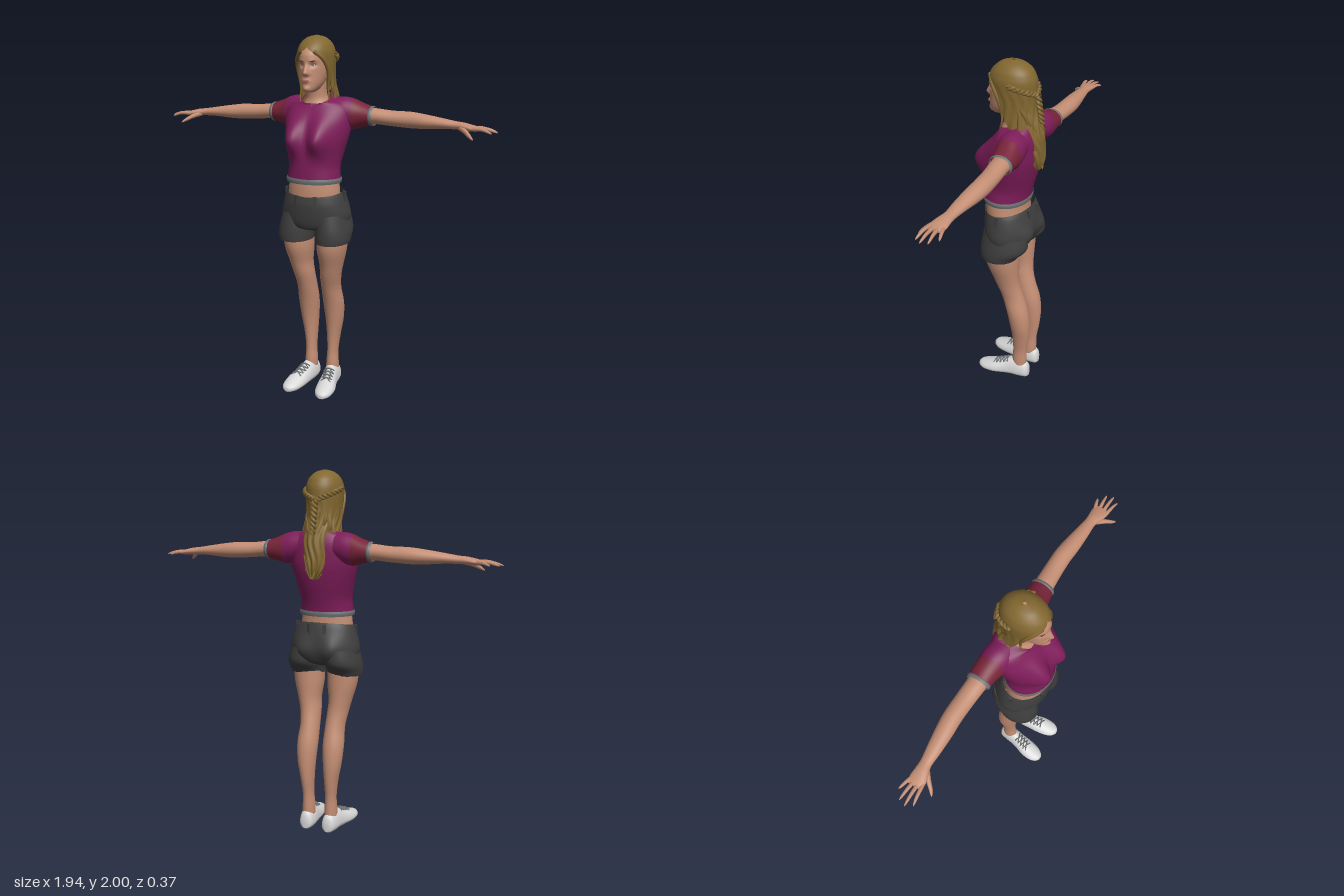
import * as THREE from 'three';

const paint = (name, color, side = THREE.FrontSide) => {
  const m = new THREE.MeshStandardMaterial({ color, side });
  m.name = name;
  return m;
};
const g2 = (a, sa, b, sb) => Math.exp(-((a / sa) ** 2) - (b / sb) ** 2);

// Smooth spline through one column of numbers
const spline = (a, b, c, d, t) =>
  0.5 * (2 * b + (c - a) * t + (2 * a - 5 * b + 4 * c - d) * t * t + (3 * b - a - 3 * c + d) * t ** 3);

// Lofted skin. Ring: [t, c1, c2, r1, r2 front, r2 back, tilt, power, front opening angle]
function loft(rings, { axis = 'y', seg = 32, steps = 5, cap = true, deform } = {}) {
  const full = rings.map((r) => [...r, ...[0, 2, 0].slice(r.length - 6)]);
  const at = (i) => full[Math.min(Math.max(i, 0), full.length - 1)];
  const rows = [];
  for (let i = 0; i < full.length - 1; i++)
    for (let k = 0; k < steps; k++)
      rows.push(full[0].map((_, n) => spline(at(i - 1)[n], at(i)[n], at(i + 1)[n], at(i + 2)[n], k / steps)));
  rows.push(at(full.length));
  const open = full.some((r) => r[8] > 0);
  const cols = open ? seg + 1 : seg;
  const pos = [], idx = [], v = new THREE.Vector3();
  const put = (p1, t, p2) => {
    if (axis === 'y') pos.push(p1, t, p2);
    else if (axis === 'x') pos.push(t, p1, p2);
    else pos.push(p1, p2, t);
  };
  const flip = axis !== 'y';
  const tri = (a, b, c) => (flip ? idx.push(a, c, b) : idx.push(a, b, c));
  rows.forEach(([t, c1, c2, r1, rf, rb, tilt, pow, gap]) => {
    const o = Math.max(gap, 0);
    for (let j = 0; j < cols; j++) {
      const a = Math.PI / 2 + o + (j / seg) * (Math.PI * 2 - 2 * o);
      const c = Math.cos(a), s = Math.sin(a);
      const e = (w) => Math.sign(w) * Math.abs(w) ** (2 / pow);
      v.set(c1 + Math.max(r1, 0) * e(c), t - tilt * s, c2 + Math.max(s > 0 ? rf : rb, 0) * e(s));
      if (deform) deform(v, a);
      put(v.x, v.y, v.z);
    }
  });
  for (let i = 0; i < rows.length - 1; i++)
    for (let j = 0; j < seg; j++) {
      const A = i * cols + j, B = i * cols + ((j + 1) % cols);
      tri(A, A + cols, B);
      tri(B, A + cols, B + cols);
    }
  if (cap && !open) {
    const last = (rows.length - 1) * cols, n = rows.length * cols, e = rows[rows.length - 1];
    put(rows[0][1], rows[0][0], rows[0][2]);
    put(e[1], e[0], e[2]);
    for (let j = 0; j < seg; j++) {
      tri(n, j, (j + 1) % seg);
      tri(n + 1, last + ((j + 1) % seg), last + j);
    }
  }
  const geo = new THREE.BufferGeometry();
  geo.setAttribute('position', new THREE.Float32BufferAttribute(pos, 3));
  geo.setIndex(idx);
  geo.computeVertexNormals();
  return geo;
}

// Round strand along points, radius given by a function of 0..1
function strand(points, radius, n = 20, sides = 8) {
  const curve = new THREE.CatmullRomCurve3(points.map((p) => new THREE.Vector3(...p)));
  const geo = new THREE.TubeGeometry(curve, n, 1, sides);
  const p = geo.attributes.position, v = new THREE.Vector3();
  for (let i = 0; i < p.count; i++) {
    const t = Math.floor(i / (sides + 1)) / n, c = curve.getPointAt(t);
    v.fromBufferAttribute(p, i).sub(c).multiplyScalar(radius(t)).add(c);
    p.setXYZ(i, v.x, v.y, v.z);
  }
  return geo;
}

function mirrored(geo) {
  const m = geo.clone().scale(-1, 1, 1), ix = m.index;
  for (let i = 0; i < ix.count; i += 3) {
    const b = ix.getX(i + 1);
    ix.setX(i + 1, ix.getX(i + 2));
    ix.setX(i + 2, b);
  }
  return m;
}

export function createModel() {
  const model = new THREE.Group(), two = THREE.DoubleSide;
  const skin = paint('skin', 0xc48e74), hair = paint('hair', 0x826730, two);
  const shirt = paint('shirt', 0x7e1d5a, two), sleeve = paint('sleeve', 0x782339, two);
  const trim = paint('trim', 0x6c7071, two), denim = paint('shorts', 0x3e3e3e, two);
  const white = paint('white', 0xd8d8d8), lip = paint('lips', 0xa5655a), dark = paint('dark', 0x3c2c20);
  const add = (name, geo, mat) => {
    const m = new THREE.Mesh(geo, mat);
    m.name = name;
    model.add(m);
    return m;
  };
  const pair = (name, geo, mat) => {
    add(name + 'Left', geo, mat);
    add(name + 'Right', mirrored(geo), mat);
  };

  // Legs
  pair('leg', loft([
    [0.08, 0.068, -0.075, 0.036, 0.043, 0.045], [0.13, 0.068, -0.075, 0.035, 0.043, 0.045],
    [0.2, 0.069, -0.078, 0.031, 0.042, 0.043], [0.3, 0.073, -0.082, 0.039, 0.05, 0.053],
    [0.4, 0.078, -0.08, 0.052, 0.06, 0.06], [0.5, 0.078, -0.065, 0.059, 0.065, 0.065],
    [0.6, 0.076, -0.035, 0.055, 0.065, 0.067], [0.68, 0.083, -0.01, 0.059, 0.07, 0.072],
    [0.75, 0.093, 0, 0.065, 0.082, 0.076], [0.85, 0.1, 0.01, 0.083, 0.105, 0.088],
    [0.97, 0.105, 0.01, 0.088, 0.11, 0.09]]), skin);

  // Shoes with crossed laces
  pair('shoe', loft([
    [-0.138, 0.068, 0.035, 0.014, 0.018, 0.03], [-0.125, 0.068, 0.035, 0.035, 0.06, 0.04],
    [-0.08, 0.07, 0.035, 0.044, 0.085, 0.045], [-0.035, 0.074, 0.035, 0.046, 0.083, 0.045],
    [0.01, 0.082, 0.03, 0.049, 0.068, 0.04], [0.07, 0.094, 0.025, 0.056, 0.05, 0.035],
    [0.13, 0.101, 0.02, 0.05, 0.033, 0.03], [0.165, 0.104, 0.018, 0.033, 0.022, 0.024],
    [0.18, 0.105, 0.016, 0.012, 0.01, 0.012]],
  { axis: 'z', deform: (v) => { v.z = Math.max(v.z, 0.002); v.y; } }), white);
  for (let i = 0; i < 4; i++) {
    const z = -0.012 + i * 0.022, cx = 0.079 + i * 0.005, y = 0.11 - i * 0.009;
    for (const s of [-1, 1])
      pair('lace', strand([[cx - s * 0.03, y - 0.014, z], [cx, y + 0.001, z + 0.011], [cx + s * 0.03, y - 0.02, z + 0.022]],
        () => 0.004, 8, 6), trim);
  }

  // Shorts: hips, leg openings and belt loops
  const hips = add('shortsHips', loft([
    [0.945, 0, 0, 0.03, 0.05, 0.05], [0.965, 0, 0, 0.13, 0.12, 0.1], [0.99, 0, 0, 0.185, 0.138, 0.118],
    [1.04, 0, 0, 0.2, 0.147, 0.132], [1.1, 0, 0.003, 0.188, 0.148, 0.132],
    [1.15, 0, 0.01, 0.173, 0.136, 0.125, 0.012], [1.172, 0, 0.018, 0.162, 0.125, 0.122, 0.02]],
  { seg: 48, cap: false, deform: (v) => {
    if (v.z < 0) v.z -= 0.026 * g2(Math.abs(v.x) - 0.085, 0.055, v.y - 1.04, 0.07);
  } }), denim);
  pair('shortsLeg', loft([
    [0.892, 0.11, 0.025, 0.097, 0.113, 0.1, 0.006], [0.92, 0.111, 0.02, 0.1, 0.12, 0.11],
    [0.97, 0.108, 0, 0.1, 0.138, 0.132], [1.05, 0.1, 0, 0.088, 0.125, 0.13]], { cap: false }), denim);
  model.updateMatrixWorld(true);
  const ray = new THREE.Raycaster();
  const hit = (mesh, from, dir) => {
    ray.set(new THREE.Vector3(...from), new THREE.Vector3(...dir).normalize());
    return ray.intersectObject(mesh)[0].point;
  };
  for (const [a, y] of [[1.2, 1.125], [1.94, 1.125], [0.1, 1.145], [3.04, 1.145], [-1.2, 1.155], [-1.94, 1.155]]) {
    const c = Math.cos(a), s = Math.sin(a), p = hit(hips, [c, y, s], [-c, 0, -s]);
    const loop = add('beltLoop', new THREE.BoxGeometry(0.02, 0.06, 0.014), denim);
    loop.position.copy(p);
    loop.rotation.y = Math.PI / 2 - a;
  }

  // Waist, shirt body and hem
  add('waist', loft([[1.08, 0, 0.02, 0.15, 0.12, 0.11], [1.18, 0, 0.028, 0.146, 0.116, 0.108],
    [1.3, 0, 0.025, 0.13, 0.11, 0.11]]), skin);
  add('shirtBody', loft([
    [1.232, 0, 0.03, 0.151, 0.127, 0.122], [1.27, 0, 0.028, 0.146, 0.128, 0.126],
    [1.32, 0, 0.02, 0.144, 0.133, 0.13], [1.4, 0, 0, 0.161, 0.143, 0.132],
    [1.48, 0, -0.015, 0.181, 0.14, 0.133], [1.55, 0, -0.03, 0.191, 0.135, 0.12],
    [1.61, 0, -0.042, 0.186, 0.115, 0.105], [1.645, 0, -0.045, 0.16, 0.105, 0.09, 0.008],
    [1.665, 0, -0.04, 0.115, 0.105, 0.08, 0.02], [1.675, 0, -0.025, 0.076, 0.098, 0.07, 0.038]],
  { seg: 64, cap: false, deform: (v) => {
    if (v.z > 0) v.z += 0.075 * g2(Math.abs(v.x) - 0.08, 0.06, v.y - 1.46, v.y > 1.46 ? 0.1 : 0.08);
  } }), shirt);
  add('shirtHem', loft([[1.222, 0, 0.03, 0.154, 0.131, 0.126], [1.237, 0, 0.03, 0.157, 0.133, 0.128],
    [1.25, 0, 0.03, 0.153, 0.13, 0.126]], { cap: false }), trim);

  // Shoulders, sleeves and cuffs
  const x = { axis: 'x', cap: false };
  pair('shoulder', loft([[0.1, 1.6, -0.06, 0.075, 0.08, 0.075], [0.15, 1.592, -0.065, 0.083, 0.08, 0.076],
    [0.195, 1.583, -0.07, 0.082, 0.074, 0.071]], x), shirt);
  pair('sleeve', loft([[0.195, 1.583, -0.07, 0.082, 0.074, 0.071], [0.24, 1.58, -0.075, 0.065, 0.066, 0.066],
    [0.295, 1.577, -0.078, 0.05, 0.06, 0.06]], x), sleeve);
  pair('cuff', loft([[0.284, 1.577, -0.078, 0.051, 0.061, 0.061], [0.294, 1.577, -0.078, 0.054, 0.064, 0.064],
    [0.305, 1.577, -0.078, 0.049, 0.059, 0.059]], x), trim);

  // Arms and hands
  pair('arm', loft([
    [0.24, 1.578, -0.078, 0.045, 0.052, 0.052], [0.32, 1.577, -0.08, 0.042, 0.05, 0.05],
    [0.4, 1.57, -0.085, 0.041, 0.048, 0.048], [0.5, 1.566, -0.088, 0.043, 0.047, 0.047],
    [0.58, 1.562, -0.083, 0.038, 0.045, 0.045], [0.68, 1.558, -0.076, 0.027, 0.037, 0.037],
    [0.75, 1.553, -0.072, 0.021, 0.03, 0.03], [0.79, 1.55, -0.067, 0.02, 0.035, 0.035],
    [0.83, 1.545, -0.063, 0.017, 0.043, 0.042], [0.862, 1.541, -0.061, 0.012, 0.042, 0.041],
    [0.872, 1.539, -0.061, 0.005, 0.035, 0.035]], { axis: 'x', seg: 24 }), skin);
  for (const [z, tx, ty, tz] of [[-0.03, 0.95, 1.525, -0.014], [-0.05, 0.972, 1.529, -0.048],
    [-0.071, 0.96, 1.529, -0.084], [-0.09, 0.918, 1.53, -0.116]])
    pair('finger', strand([[0.835, 1.543, z], [0.835 * 0.45 + tx * 0.55, 1.543, z * 0.45 + tz * 0.55], [tx, ty, tz]],
      (t) => 0.0105 * Math.sqrt(1.001 - t ** 5) * (1 - 0.3 * t), 14), skin);
  pair('thumb', strand([[0.775, 1.545, -0.055], [0.815, 1.528, -0.018], [0.84, 1.512, 0.008], [0.865, 1.495, 0.028]],
    (t) => 0.015 * Math.sqrt(1.001 - t ** 5) * (1 - 0.4 * t), 14), skin);

  // Neck and head, with brow, eye sockets, nose, mouth and chin shaped in
  add('neck', loft([[1.58, 0, -0.03, 0.12, 0.1, 0.07], [1.63, 0, -0.025, 0.085, 0.088, 0.06],
    [1.665, 0, -0.015, 0.06, 0.068, 0.06], [1.7, 0, -0.005, 0.052, 0.06, 0.06],
    [1.78, 0, 0.01, 0.052, 0.06, 0.06]]), skin);
  const head = add('head', loft([
    [1.705, 0, 0.085, 0.018, 0.03, 0.05], [1.718, 0, 0.07, 0.036, 0.06, 0.07],
    [1.75, 0, 0.05, 0.056, 0.08, 0.08], [1.8, 0, 0.03, 0.07, 0.098, 0.11],
    [1.85, 0, 0.02, 0.076, 0.108, 0.12], [1.9, 0, 0.01, 0.077, 0.117, 0.12],
    [1.95, 0, 0, 0.065, 0.09, 0.1], [1.98, 0, 0, 0.03, 0.04, 0.04]],
  { seg: 96, steps: 10, deform: (v) => {
    if (v.z < 0.04) return;
    const { x: vx, y } = v, ax = Math.abs(vx);
    const ridge = y > 1.803 ? Math.max(0, 1 - (y - 1.803) / 0.06) : Math.max(0, 1 - (1.803 - y) / 0.016);
    v.z += 0.03 * ridge * Math.exp(-((vx / (0.016 - 0.006 * (y > 1.803 ? 1 - ridge : 0))) ** 2))
      - 0.011 * g2(ax - 0.032, 0.017, y - 1.845, 0.012) + 0.004 * g2(ax - 0.03, 0.025, y - 1.868, 0.01)
      + 0.006 * g2(vx, 0.022, y - 1.764, 0.012) + 0.007 * g2(vx, 0.02, y - 1.725, 0.014);
  } }), skin);
  const onFace = (name, mat, px, y, w, h, d, turn = 0) => {
    const p = hit(head, [px, y, 1], [0, 0, -1]);
    const m = add(name, new THREE.SphereGeometry(1, 16, 10), mat);
    m.scale.set(w, h, d);
    m.position.copy(p);
    m.rotation.set(0, px * 9, turn);
  };
  model.updateMatrixWorld(true);
  for (const s of [-1, 1]) {
    onFace('eye', white, s * 0.031, 1.845, 0.0125, 0.0055, 0.004);
    onFace('iris', dark, s * 0.031, 1.8455, 0.005, 0.005, 0.0055);
    onFace('lashes', dark, s * 0.032, 1.851, 0.014, 0.0018, 0.006);
    onFace('eyebrow', dark, s * 0.033, 1.866, 0.019, 0.0028, 0.003, s * 0.15);
  }
  onFace('upperLip', lip, 0, 1.767, 0.02, 0.0042, 0.005);
  onFace('lowerLip', lip, 0, 1.759, 0.017, 0.005, 0.0055);

  // Hair: open-fronted mass with combed ripples
  add('hairMass', loft([
    [1.43, 0, -0.135, 0.025, 0.02, 0.02, 0, 2, 1.6], [1.48, 0, -0.11, 0.06, 0.04, 0.062, 0, 2, 1.65],
    [1.55, 0, -0.07, 0.085, 0.06, 0.102, 0, 2, 1.65], [1.62, 0, -0.04, 0.097, 0.06, 0.125, 0, 2, 1.6],
    [1.68, 0, -0.02, 0.098, 0.08, 0.128, 0, 2, 1.5], [1.74, 0, -0.003, 0.096, 0.09, 0.127, 0, 2, 1.35],
    [1.8, 0, 0, 0.096, 0.1, 0.125, 0, 2, 1.2], [1.85, 0, 0, 0.098, 0.115, 0.126, 0, 2, 0.98],
    [1.9, 0, 0, 0.098, 0.128, 0.124, 0, 2, 0.52], [1.932, 0, 0, 0.091, 0.119, 0.114, 0, 2, 0.04],
    [1.96, 0, 0, 0.077, 0.096, 0.096], [1.986, 0, 0, 0.047, 0.06, 0.058], [1.998, 0, 0, 0.006, 0.008, 0.008]],
  { seg: 96, deform: (v, a) => {
    const k = 1 + 0.035 * Math.min(1, Math.max(0, (1.9 - v.y) / 0.2)) * Math.sin(a * 16 + 3 * Math.sin(v.y * 22));
    v.x *= k;
    v.z = v.z < -0.05 ? -0.05 + (v.z + 0.05) * k : v.z;
  } }), hair);

  // Loose wavy locks down the back
  for (let i = 0; i < 9; i++) {
    const u = (i - 4) / 4, end = 1.43 + 0.05 * Math.abs(u) + 0.02 * (i % 2), pts = [];
    for (let k = 0; k <= 8; k++) {
      const t = k / 8, y = 1.78 + (end - 1.78) * t;
      pts.push([u * (0.082 - 0.035 * t * t) + 0.008 * Math.sin(t * 11 + i * 2), y,
        -0.112 - 0.05 * t + 0.06 * u * u * (1 - 0.6 * t) + 0.006 * Math.cos(t * 12 + i)]);
    }
    add('backLock', strand(pts, (t) => 0.016 * Math.sqrt(Math.max(0.002, Math.sin(Math.PI * (0.08 + 0.92 * t)))), 28), hair);
  }

  // Locks framing the face
  pair('faceLock', strand([[0.035, 1.918, 0.112], [0.07, 1.885, 0.084], [0.086, 1.84, 0.055], [0.086, 1.78, 0.033],
    [0.08, 1.72, 0.025], [0.084, 1.67, 0.03], [0.07, 1.635, 0.05]], (t) => 0.012 * (1.03 - t ** 2), 32), hair);

  // Twisted braids from the temples meeting at the back
  for (const phase of [0, Math.PI]) {
    const side = [], tail = [];
    for (let k = 0; k <= 28; k++) {
      const t = k / 28, a = 0.1 + t * (Math.PI / 2 - 0.1), w = phase + t * 24;
      const r = 1.03 + 0.05 * Math.cos(w);
      side.push([0.1 * Math.cos(a) * r, 1.9 - 0.06 * t + 0.008 * Math.sin(w), -0.125 * Math.sin(a) * r]);
      tail.push([0.01 * Math.sin(w), 1.84 - 0.19 * t, -0.133 - 0.035 * t + 0.007 * Math.cos(w)]);
    }
    pair('sideBraid', strand(side, () => 0.009, 70, 6), hair);
    add('backBraid', strand(tail, (t) => 0.01 * (1.02 - t ** 4), 70, 6), hair);
  }
  return model;
}
